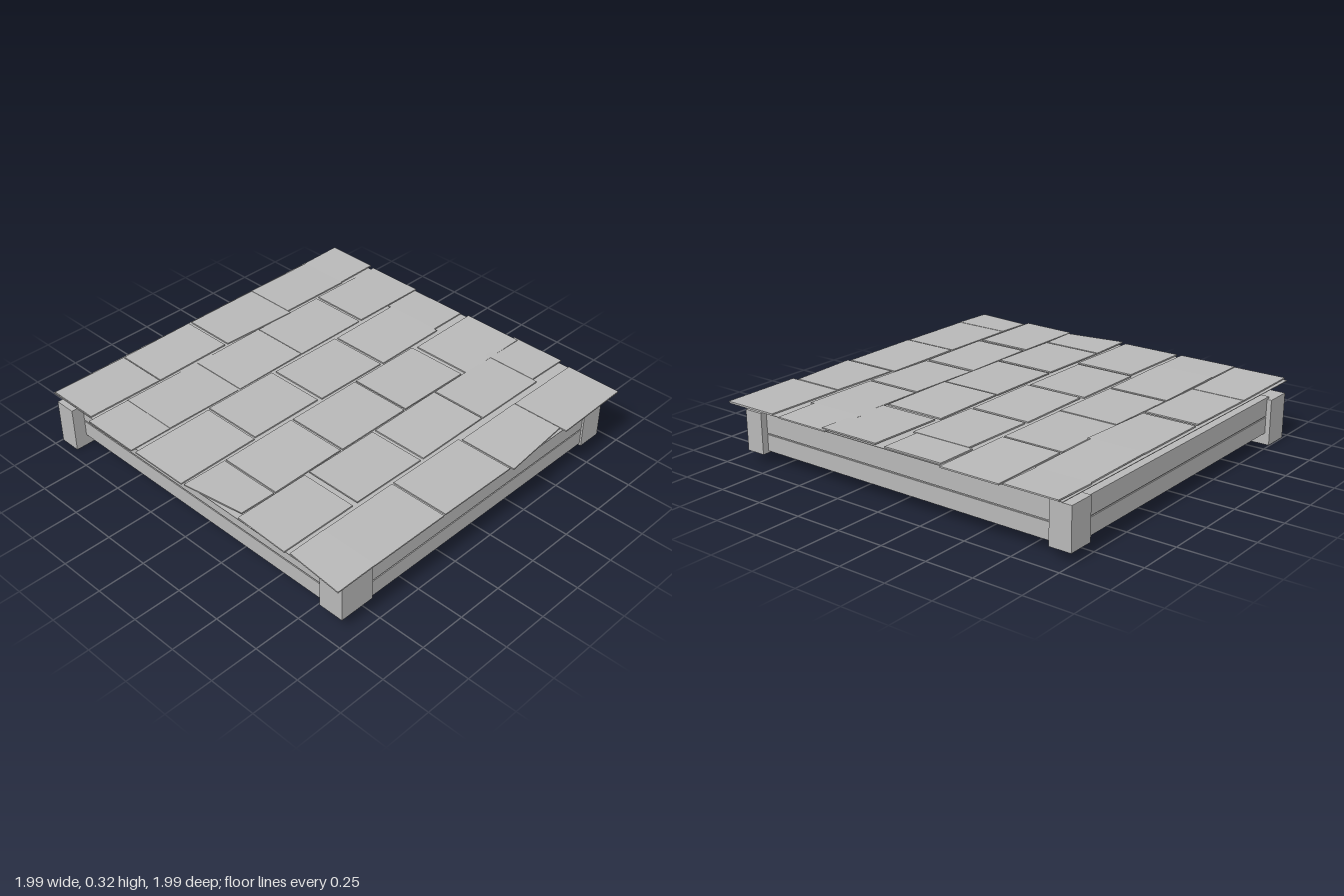
import * as THREE from 'three';

export function createModel() {
  const group = new THREE.Group();
  const stone = new THREE.MeshStandardMaterial({ color: 0xb8b8b8 });
  stone.name = 'grey';

  function box(name, x0, x1, y0, y1, z0, z1) {
    const mesh = new THREE.Mesh(new THREE.BoxGeometry(x1 - x0, y1 - y0, z1 - z0), stone);
    mesh.position.set((x0 + x1) / 2, (y0 + y1) / 2, (z0 + z1) / 2);
    mesh.name = name;
    group.add(mesh);
    return mesh;
  }

  // Corner posts, each slightly different
  box('frontLeftPost', 0.78, 0.915, 0.05, 0.262, 0.83, 0.935);
  box('frontRightPost', -0.92, -0.73, 0.06, 0.25, 0.8, 0.935);
  box('backLeftPost', 0.77, 0.91, 0.05, 0.265, -0.995, -0.88);
  box('backRightPost', -0.955, -0.81, 0, 0.24, -0.995, -0.88);

  // Frame beams: two stacked planks with a recessed strip between
  function beam(name, x0, x1, z0, z1, top) {
    const g = 0.006;
    box(name + 'Lower', x0, x1, 0.06, 0.145, z0, z1);
    box(name + 'Groove', x0 + g, x1 - g, 0.145, 0.152, z0 + g, z1 - g);
    box(name + 'Upper', x0, x1, 0.152, top, z0, z1);
  }
  beam('frontBeam', -0.75, 0.8, 0.83, 0.925, 0.252);
  beam('backBeam', -0.83, 0.79, -0.97, -0.85, 0.25);
  beam('leftBeam', 0.78, 0.88, -0.9, 0.85, 0.255);
  beam('rightBeam', -0.89, -0.79, -0.9, 0.85, 0.25);

  // Braces fanning from the front beam to the back of the frame
  function brace(name, xa, za, xb, zb) {
    const length = Math.hypot(xb - xa, zb - za);
    const mesh = new THREE.Mesh(new THREE.BoxGeometry(0.09, 0.05, length), stone);
    mesh.position.set((xa + xb) / 2, 0.22, (za + zb) / 2);
    mesh.rotation.y = Math.atan2(xb - xa, zb - za);
    mesh.name = name;
    group.add(mesh);
  }
  brace('leftBrace', 0.14, 0.83, 0.78, -0.86);
  brace('middleBrace', 0.06, 0.83, -0.24, -0.88);
  brace('rightBrace', 0.02, 0.83, -0.8, -0.86);

  // Sheet under the tiles
  box('roofSheet', -0.97, 0.975, 0.3, 0.303, -0.995, 0.975);

  // Tile rows: z range, height, then [x0, x1, shift of back left x, slope of front edge, shift in z]
  const rows = [
    { z0: -0.98, z1: -0.695, y: 0.309, tiles: [
      [-0.97, -0.545], [-0.54, -0.11], [-0.09, 0.34, 0, 0.02], [0.34, 0.755], [0.755, 0.99, 0, 0, -0.005]] },
    { z0: -0.68, z1: -0.36, y: 0.305, tiles: [
      [-0.995, -0.76], [-0.76, -0.325], [-0.31, 0.11], [0.115, 0.54], [0.555, 0.99]] },
    { z0: -0.335, z1: -0.01, y: 0.308, tiles: [
      [-0.99, -0.54], [-0.525, -0.11, 0, 0, -0.01], [-0.09, 0.33], [0.345, 0.755, 0, 0, 0.005], [0.755, 0.97, 0, 0, -0.015]] },
    { z0: 0.01, z1: 0.34, y: 0.311, tiles: [
      [-0.94, -0.745, -0.05], [-0.735, -0.32], [-0.305, 0.12], [0.13, 0.545], [0.57, 0.975, 0, 0, 0.015]] },
    { z0: 0.348, z1: 0.65, y: 0.31, tiles: [
      [-0.98, -0.56, 0.01], [-0.53, -0.11], [-0.09, 0.33], [0.34, 0.755], [0.755, 0.99, 0, 0, -0.025]] },
    { z0: 0.67, z1: 0.98, y: 0.306, tiles: [
      [-0.99, -0.765, 0.025], [-0.765, -0.325], [-0.315, 0.135], [0.145, 0.535, 0, -0.035, 0.015], [0.54, 0.975, 0, -0.01, 0.015]] },
  ];
  const thickness = 0.007;
  rows.forEach((row, r) => row.tiles.forEach(([x0, x1, skew = 0, slope = 0, shift = 0], i) => {
    const tile = box(`tile${r + 1}_${i + 1}`, x0, x1, row.y - thickness / 2, row.y + thickness / 2, row.z0 + shift, row.z1 + shift);
    // Uneven corners and a small sideways tilt
    const p = tile.geometry.attributes.position;
    const tilt = ((r + i * 2) % 3 - 1) * 0.002;
    for (let k = 0; k < p.count; k++) {
      const x = p.getX(k), z = p.getZ(k);
      if (x < 0 && z < 0) p.setX(k, x + skew);
      if (x > 0 && z > 0) p.setZ(k, z + slope);
      p.setY(k, p.getY(k) + Math.sign(x) * tilt);
    }
    tile.geometry.computeVertexNormals();
  }));

  return group;
}
